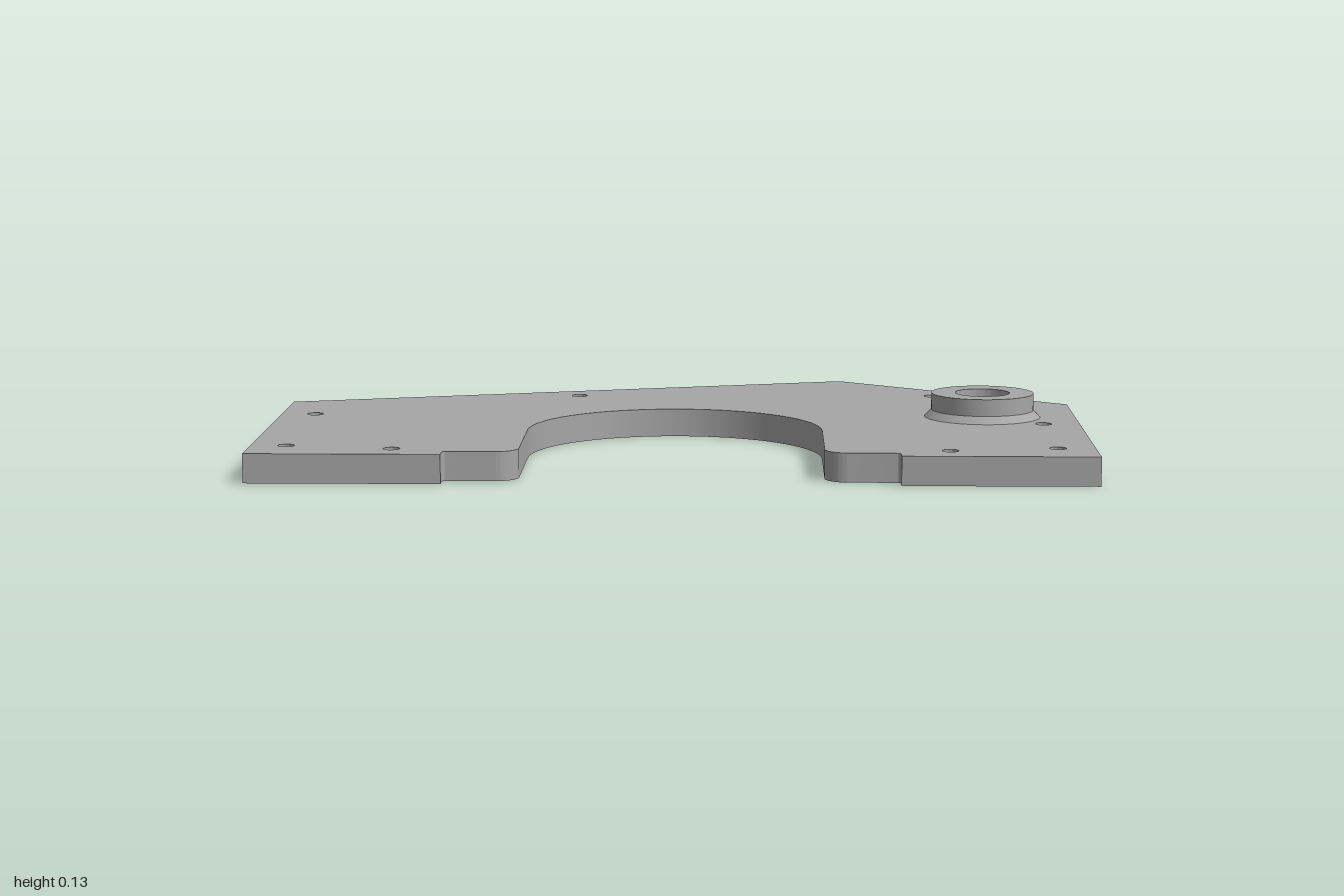
import * as THREE from 'three';
import { toCreasedNormals } from 'three/addons/utils/BufferGeometryUtils.js';

const THICKNESS = 0.07;
const BOSS_X = 0.767;
const BORE_RADIUS = 0.032;

// Plan outline; shape y is -z
function plateShape() {
  const s = new THREE.Shape();
  s.moveTo(-1, 0.213);
  s.lineTo(-1, -0.638);
  s.lineTo(-0.537, -0.638);
  // left relief step and rounded slot corner
  s.lineTo(-0.537, -0.605);
  s.quadraticCurveTo(-0.537, -0.595, -0.527, -0.595);
  s.lineTo(-0.415, -0.595);
  s.absarc(-0.415, -0.54, 0.055, -Math.PI / 2, 0, false);
  // arched slot
  s.lineTo(-0.36, -0.255);
  s.absarc(0, -0.255, 0.36, Math.PI, 0, true);
  s.lineTo(0.36, -0.54);
  // right rounded slot corner and relief step
  s.absarc(0.415, -0.54, 0.055, Math.PI, Math.PI * 1.5, false);
  s.lineTo(0.527, -0.595);
  s.quadraticCurveTo(0.537, -0.595, 0.537, -0.605);
  s.lineTo(0.537, -0.638);
  s.lineTo(1, -0.638);
  s.lineTo(1, 0.213);
  s.lineTo(0.425, 0.638);
  s.closePath();

  // screw holes and the boss bore: x, z, radius
  const holes = [
    [-0.915, 0, 0.02], [-0.265, -0.347, 0.02], [0.66, -0.36, 0.02], [0.91, 0.125, 0.02],
    [0.91, 0.512, 0.02], [0.655, 0.553, 0.02], [-0.66, 0.553, 0.02], [-0.915, 0.512, 0.02],
    [BOSS_X, 0, BORE_RADIUS],
  ];
  for (const [x, z, r] of holes) {
    s.holes.push(new THREE.Path().absarc(x, -z, r, 0, Math.PI * 2, true));
  }
  return s;
}

export function createModel() {
  const group = new THREE.Group();
  group.name = 'mountingPlate';
  const metal = new THREE.MeshStandardMaterial({ color: 0xa6a6a6 });
  metal.name = 'grey metal';

  // Flat plate
  const plateGeo = new THREE.ExtrudeGeometry(plateShape(), {
    depth: THICKNESS, bevelEnabled: false, curveSegments: 32,
  });
  plateGeo.rotateX(-Math.PI / 2);
  const plate = new THREE.Mesh(toCreasedNormals(plateGeo, 0.5), metal);
  plate.name = 'plate';
  group.add(plate);

  // Raised boss with conical foot and counterbore
  const profile = [
    [0.145, THICKNESS], [0.128, 0.088], [0.128, 0.13], [0.068, 0.13],
    [0.068, 0.08], [BORE_RADIUS, 0.08], [BORE_RADIUS, THICKNESS],
  ].map(([r, y]) => new THREE.Vector2(r, y));
  const boss = new THREE.Mesh(toCreasedNormals(new THREE.LatheGeometry(profile, 64), 0.5), metal);
  boss.name = 'boss';
  boss.position.x = BOSS_X;
  group.add(boss);

  return group;
}
